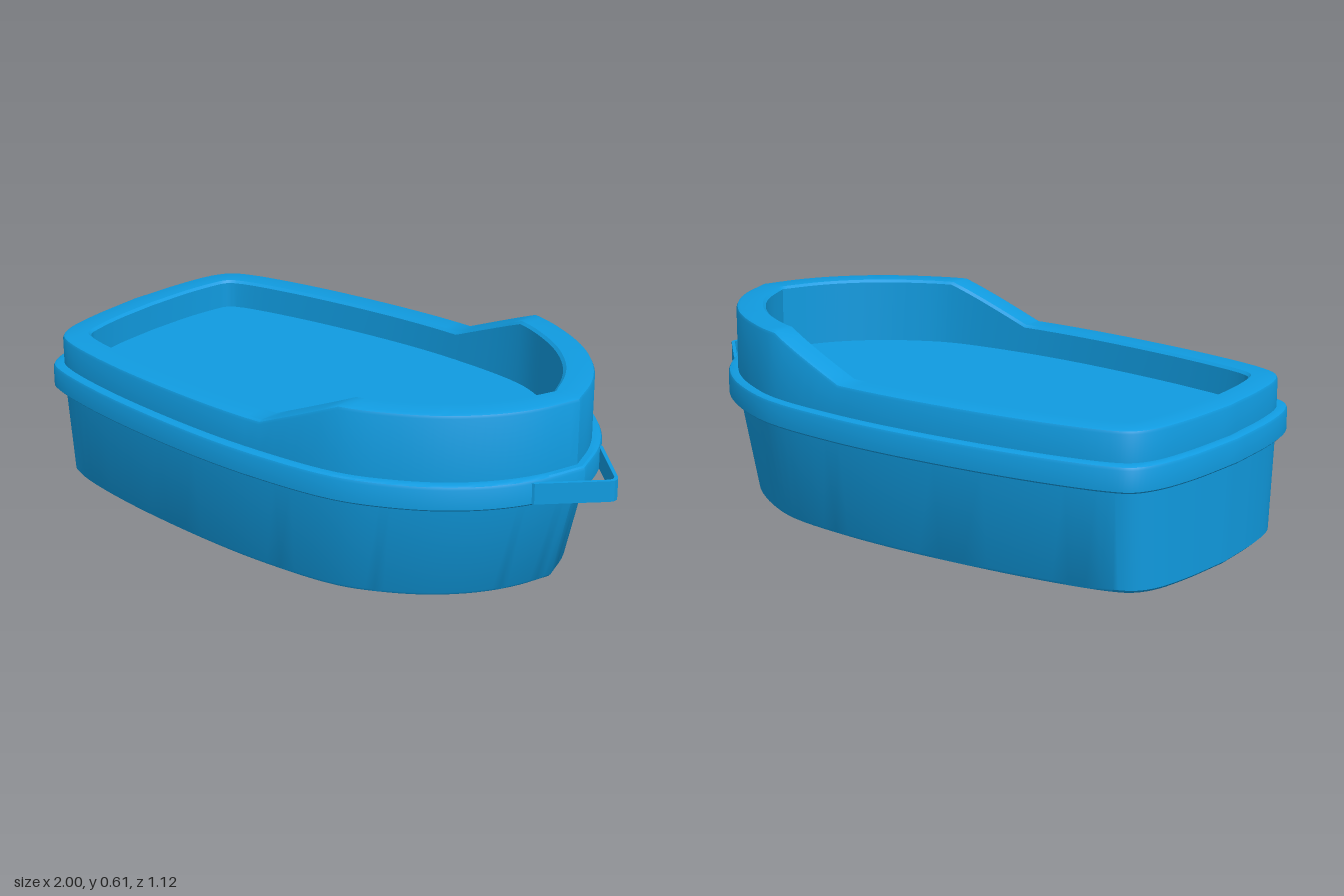
import * as THREE from 'three';
import { toCreasedNormals } from 'three/addons/utils/BufferGeometryUtils.js';

const STEPS = 5; // samples between control points

// Mirrored closed outline from a half profile [x, z], running stern to bow
function outline(half) {
  const curve = new THREE.CatmullRomCurve3(half.map(([x, z]) => new THREE.Vector3(x, 0, z)), false, 'centripetal');
  const n = (half.length - 1) * STEPS;
  const pts = [];
  for (let i = 0; i <= n; i++) pts.push(curve.getPoint(i / n));
  for (let i = n - 1; i > 0; i--) pts.push(new THREE.Vector3(pts[i].x, 0, -pts[i].z));
  return pts;
}

const blend = (a, b, t) => a.map((p, i) => p.clone().lerp(b[i], t));
const lift = (pts, y) => pts.map(p => new THREE.Vector3(p.x, typeof y === 'function' ? y(p.x) : y, p.z));

// Skin a list of rings, with optional flat caps
function loft(rings, { bottom = false, top = false } = {}) {
  const pos = [];
  const tri = (...v) => v.forEach(p => pos.push(p.x, p.y, p.z));
  const n = rings[0].length;
  for (let i = 0; i < rings.length - 1; i++) {
    for (let j = 0; j < n; j++) {
      const k = (j + 1) % n;
      const a = rings[i][j], b = rings[i][k], c = rings[i + 1][k], d = rings[i + 1][j];
      tri(a, b, c);
      tri(a, c, d);
    }
  }
  const cap = (ring, up) => {
    const mid = new THREE.Vector3(0, ring[0].y, 0);
    for (let j = 0; j < n; j++) {
      const a = ring[j], b = ring[(j + 1) % n];
      if (up) tri(mid, a, b); else tri(mid, b, a);
    }
  };
  if (bottom) cap(rings[0], false);
  if (top) cap(rings[rings.length - 1], true);
  const g = new THREE.BufferGeometry();
  g.setAttribute('position', new THREE.Float32BufferAttribute(pos, 3));
  return toCreasedNormals(g, 0.55);
}

export function createModel() {
  const group = new THREE.Group();
  const blue = new THREE.MeshStandardMaterial({ color: 0x109be0 });
  blue.name = 'blue';
  const add = (name, geometry) => {
    const mesh = new THREE.Mesh(geometry, blue);
    mesh.name = name;
    group.add(mesh);
  };

  // Plan outlines: rubbing band, wall and cockpit opening
  const band = outline([[-1, 0], [-0.985, 0.22], [-0.955, 0.36], [-0.915, 0.43], [-0.85, 0.462], [-0.6, 0.515],
    [-0.2, 0.554], [0.08, 0.555], [0.36, 0.523], [0.52, 0.462], [0.66, 0.375], [0.77, 0.265], [0.84, 0.15], [0.89, 0]]);
  const wall = outline([[-0.97, 0], [-0.955, 0.21], [-0.93, 0.34], [-0.895, 0.4], [-0.84, 0.432], [-0.6, 0.485],
    [-0.2, 0.524], [0.08, 0.525], [0.36, 0.494], [0.51, 0.434], [0.64, 0.352], [0.745, 0.247], [0.815, 0.135], [0.862, 0]]);
  const opening = outline([[-0.88, 0], [-0.872, 0.17], [-0.855, 0.28], [-0.843, 0.32], [-0.815, 0.343], [-0.6, 0.392],
    [-0.2, 0.434], [0.08, 0.435], [0.36, 0.4], [0.48, 0.347], [0.58, 0.28], [0.665, 0.195], [0.72, 0.112], [0.768, 0]]);

  // Tapered hull, with the bow raked back
  const keel = wall.map(p => new THREE.Vector3(p.x > 0 ? p.x * 0.91 : p.x, 0, p.z * 0.935));
  add('hull', loft([
    lift(keel.map(p => p.clone().multiplyScalar(0.99)), 0),
    lift(keel, 0.009),
    lift(wall, 0.33),
  ], { bottom: true }));

  // Band around the hull, with softened top and bottom edges
  add('rubbingBand', loft([
    lift(wall, 0.315),
    lift(blend(band, wall, 0.15), 0.315),
    lift(band, 0.32),
    lift(band, 0.383),
    lift(blend(band, wall, 0.12), 0.391),
    lift(blend(band, wall, 0.35), 0.395),
    lift(wall, 0.395),
  ]));

  // Upper wall, stepping up to the raised bow
  const rimTop = x => 0.49 + 0.115 * THREE.MathUtils.clamp((x - 0.08) / 0.28, 0, 1);
  const below = d => x => rimTop(x) - d;
  add('raisedWall', loft([
    lift(wall, 0.38),
    lift(wall, below(0.012)),
    lift(blend(wall, opening, 0.04), below(0.004)),
    lift(blend(wall, opening, 0.14), rimTop),
    lift(blend(wall, opening, 0.9), rimTop),
    lift(opening, below(0.008)),
    lift(opening, 0.395),
  ]));
  add('deckFloor', loft([lift(opening, 0.395)], { top: true }));

  // Thin V-shaped towing loop at the bow
  const v = new THREE.Shape();
  [[0.82, 0.178], [0.835, 0.175], [0.992, 0.02], [1, 0.008], [1, -0.008], [0.992, -0.02], [0.835, -0.175], [0.82, -0.178],
    [0.82, -0.168], [0.829, -0.165], [0.984, -0.012], [0.988, 0], [0.984, 0.012], [0.829, 0.165], [0.82, 0.168]]
    .forEach(([x, y], i) => (i ? v.lineTo(x, y) : v.moveTo(x, y)));
  const loop = new THREE.ExtrudeGeometry(v, { depth: 0.066, bevelEnabled: false });
  loop.rotateX(-Math.PI / 2);
  loop.translate(0, 0.32, 0);
  add('towLoop', loop);

  return group;
}
